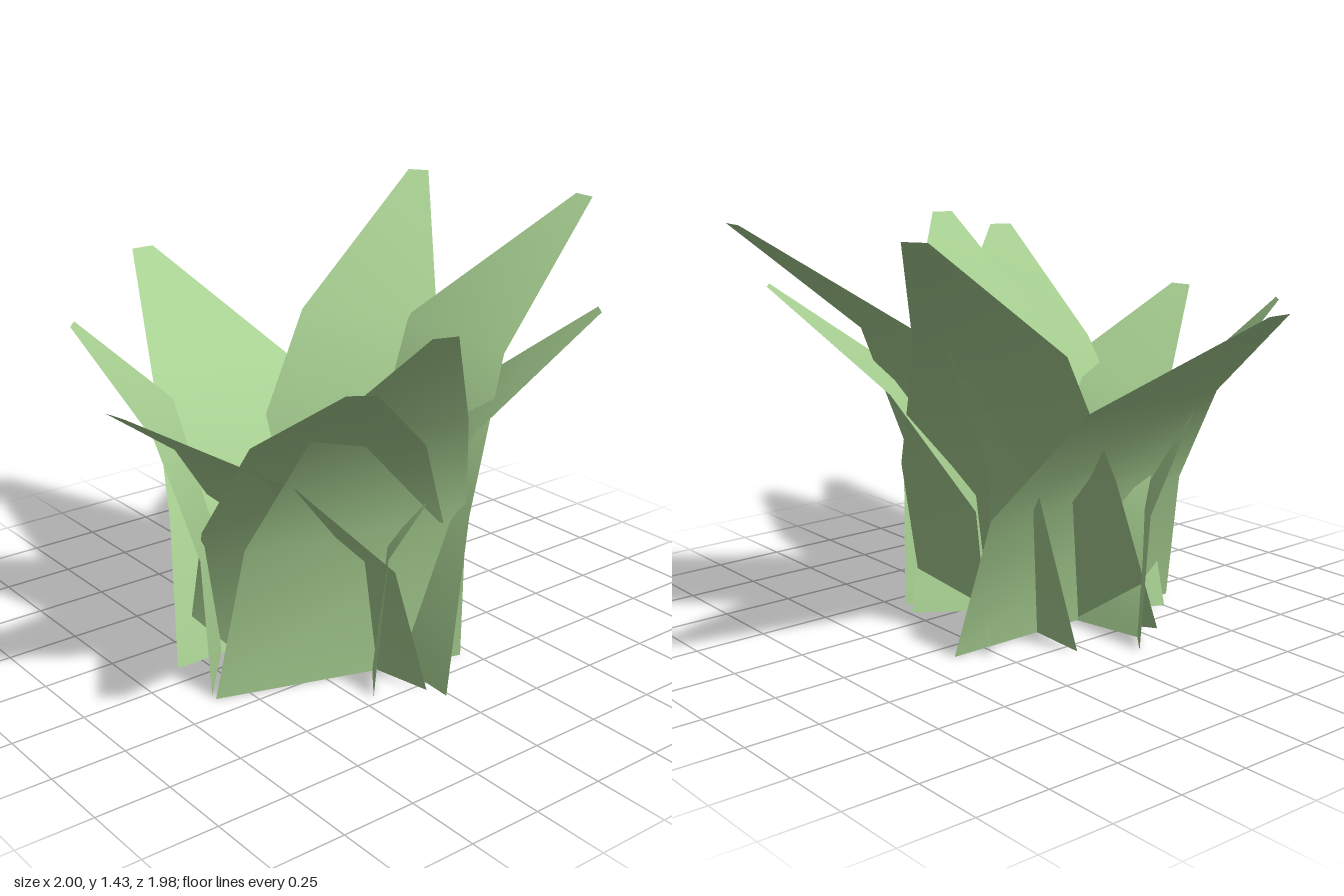
import * as THREE from 'three';

// Relative leaf width at base, shoulder, bend and tip
const TAPER = [1, 0.87, 0.58, 0.09];
// Relative height of the same four rows
const RISE = [0, 0.4, 0.717, 1];

// angle: way the leaf leans (degrees from +z towards +x); spine: [x, z] of each row
const LEAVES = [
  { name: 'frontLeaf', angle: 11, height: 1.07, width: 0.9, spine: [[0.095, 0.125], [0.1, 0.21], [0.155, 0.515], [0.255, 0.98]] },
  { name: 'frontLeftLeaf', angle: 55, height: 1.26, width: 0.9, spine: [[0.085, 0.13], [0.22, 0.215], [0.485, 0.365], [0.98, 0.68]] },
  { name: 'leftLeaf', angle: 72, height: 1.335, width: 0.86, spine: [[0.295, 0.2], [0.365, 0.19], [0.58, 0.24], [0.915, 0.34]] },
  { name: 'backLeftLeaf', angle: 142, height: 1.175, width: 0.78, spine: [[0.155, -0.04], [0.2, -0.06], [0.345, -0.295], [0.585, -0.63]] },
  { name: 'backLeaf', angle: 177, height: 1.435, width: 0.91, spine: [[0.15, -0.01], [0.15, -0.14], [0.14, -0.4], [0.16, -0.99]] },
  { name: 'backRightLeaf', angle: 213, height: 1.435, width: 0.86, spine: [[0.04, 0.085], [-0.035, -0.115], [-0.225, -0.335], [-0.56, -0.85]] },
  { name: 'rightLeaf', angle: 270, height: 1.195, width: 0.97, spine: [[-0.085, 0.11], [-0.2, 0.11], [-0.5, 0.11], [-1, 0.11]] },
  { name: 'frontRightLeaf', angle: -40, height: 1.125, width: 0.74, spine: [[-0.145, 0.37], [-0.17, 0.39], [-0.285, 0.49], [-0.47, 0.705]] },
];

// A thin strip of four level rows, smooth along its length
function leafGeometry({ angle, height, width, spine }) {
  const a = THREE.MathUtils.degToRad(angle);
  const positions = [];
  const index = [];
  spine.forEach(([x, z], row) => {
    for (const side of [-0.5, 0.5]) {
      const offset = side * width * TAPER[row];
      positions.push(x + Math.cos(a) * offset, height * RISE[row], z - Math.sin(a) * offset);
    }
    if (row > 0) {
      const i = row * 2;
      index.push(i - 2, i - 1, i + 1, i - 2, i + 1, i);
    }
  });
  const geometry = new THREE.BufferGeometry();
  geometry.setAttribute('position', new THREE.Float32BufferAttribute(positions, 3));
  geometry.setIndex(index);
  geometry.computeVertexNormals();
  return geometry;
}

export function createModel() {
  const group = new THREE.Group();
  group.name = 'leafyPlant';
  const material = new THREE.MeshStandardMaterial({ color: 0xa8d092, side: THREE.DoubleSide });
  for (const leaf of LEAVES) {
    const mesh = new THREE.Mesh(leafGeometry(leaf), material);
    mesh.name = leaf.name;
    group.add(mesh);
  }
  return group;
}
